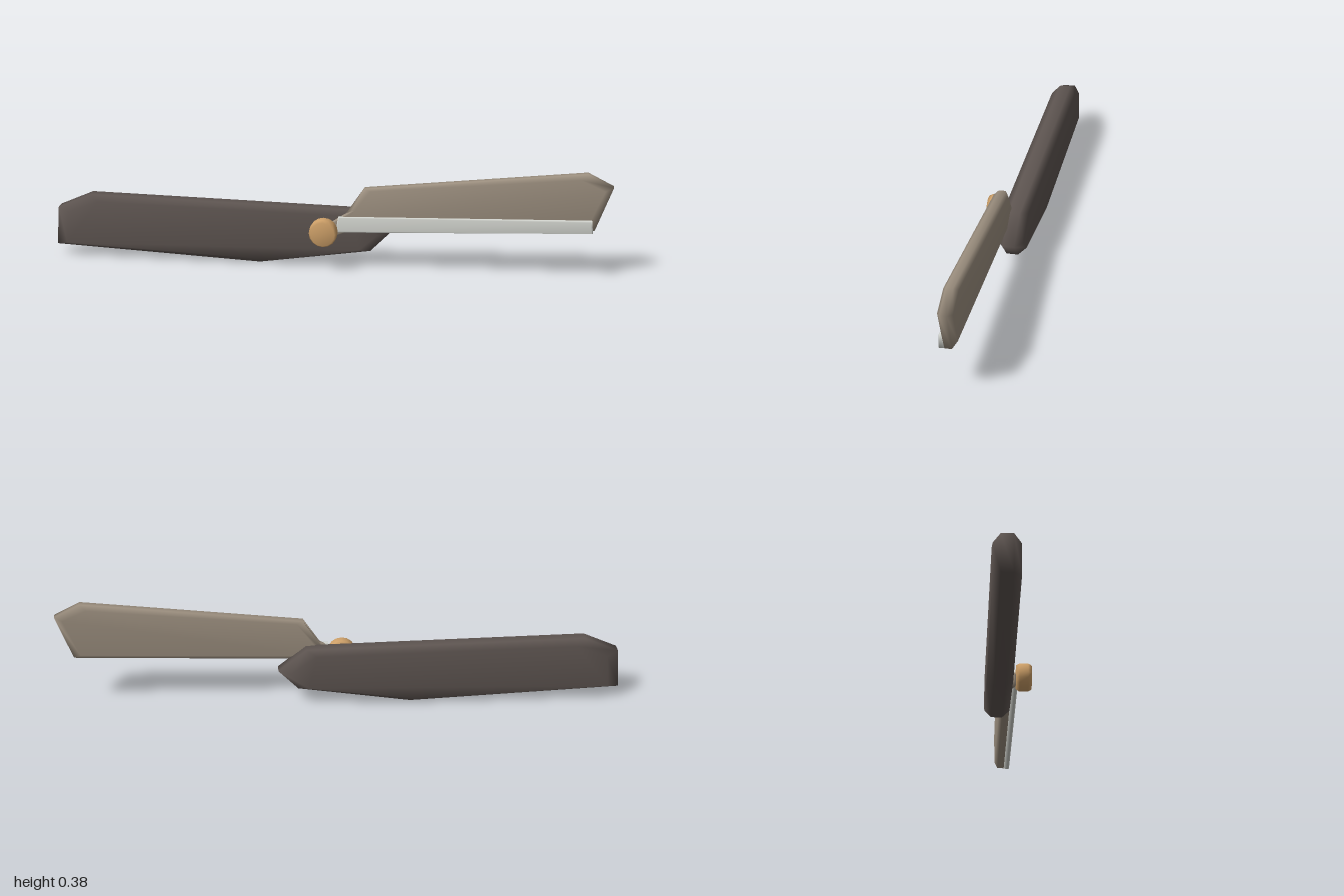
import * as THREE from 'three';

const mat = (name, color) => {
  const m = new THREE.MeshStandardMaterial({ color });
  m.name = name;
  return m;
};

// Solid from a counter-clockwise outline; each layer is [z, xScale, yScale] about the outline's centre.
function layeredSolid(outline, layers) {
  const pts = outline.map(([x, y]) => new THREE.Vector2(x, y));
  const centre = new THREE.Box2().setFromPoints(pts).getCenter(new THREE.Vector2());
  const n = pts.length, pos = [], index = [];
  for (const [z, sx, sy] of layers)
    for (const p of pts) pos.push(centre.x + (p.x - centre.x) * sx, centre.y + (p.y - centre.y) * sy, z);
  for (let k = 0; k < layers.length - 1; k++)
    for (let i = 0; i < n; i++) {
      const j = (i + 1) % n, a = k * n + i, b = k * n + j;
      index.push(a, b, b + n, a, b + n, a + n);
    }
  const last = (layers.length - 1) * n;
  for (const [a, b, c] of THREE.ShapeUtils.triangulateShape(pts, [])) {
    index.push(a, c, b, last + a, last + b, last + c);
  }
  const geo = new THREE.BufferGeometry();
  geo.setAttribute('position', new THREE.Float32BufferAttribute(pos, 3));
  geo.setIndex(index);
  geo.computeVertexNormals();
  return geo;
}

export function createModel() {
  const group = new THREE.Group();
  const dark = mat('dark handle', 0x5e5551);
  const taupe = mat('taupe blade', 0x9d9080);
  const steel = mat('bright steel', 0xd6d8d2);
  const brass = mat('brass', 0xcfa169);
  const add = (name, geo, material) => {
    const mesh = new THREE.Mesh(geo, material);
    mesh.name = name;
    group.add(mesh);
    return mesh;
  };

  // Handle with a bevelled rim
  add('handle', layeredSolid(
    [[-1, 0.04], [-0.25, 0.002], [0.15, 0.06], [0.22, 0.13], [0.12, 0.21], [-0.87, 0.232], [-0.99, 0.18]],
    [[-0.081, 0.93, 0.83], [-0.057, 1, 1], [-0.016, 1, 1], [0.009, 0.93, 0.83]]), dark);

  // Blade body
  add('blade', layeredSolid(
    [[0.03, 0.15], [0.94, 0.178], [1, 0.337], [0.91, 0.383], [0.13, 0.3]],
    [[-0.022, 0.94, 0.84], [-0.009, 1, 1], [0.015, 1, 1], [0.028, 0.94, 0.84]]), taupe);

  // Tang joining the blade to the pivot
  add('tang', layeredSolid(
    [[-0.04, 0.135], [-0.01, 0.108], [0.12, 0.16], [0.12, 0.24], [0.04, 0.19]],
    [[0.002, 0.9, 0.85], [0.008, 1, 1], [0.02, 1, 1], [0.028, 0.9, 0.85]]), taupe);

  // Polished cutting edge along the lower front of the blade
  add('cuttingEdge', layeredSolid(
    [[0.03, 0.14], [0.935, 0.173], [0.93, 0.22], [0.04, 0.198]],
    [[0.016, 0.995, 0.9], [0.028, 1, 1], [0.033, 1, 1], [0.037, 0.99, 0.85]]), steel);

  // Pivot knob, turned about z
  const profile = [[0, 0], [0.043, 0], [0.05, 0.012], [0.05, 0.042], [0.043, 0.055], [0, 0.055]];
  const knob = add('pivotKnob',
    new THREE.LatheGeometry(profile.map(([r, h]) => new THREE.Vector2(r, h)), 16), brass);
  knob.rotation.x = Math.PI / 2;
  knob.position.set(-0.01, 0.146, 0.028);

  return group;
}
